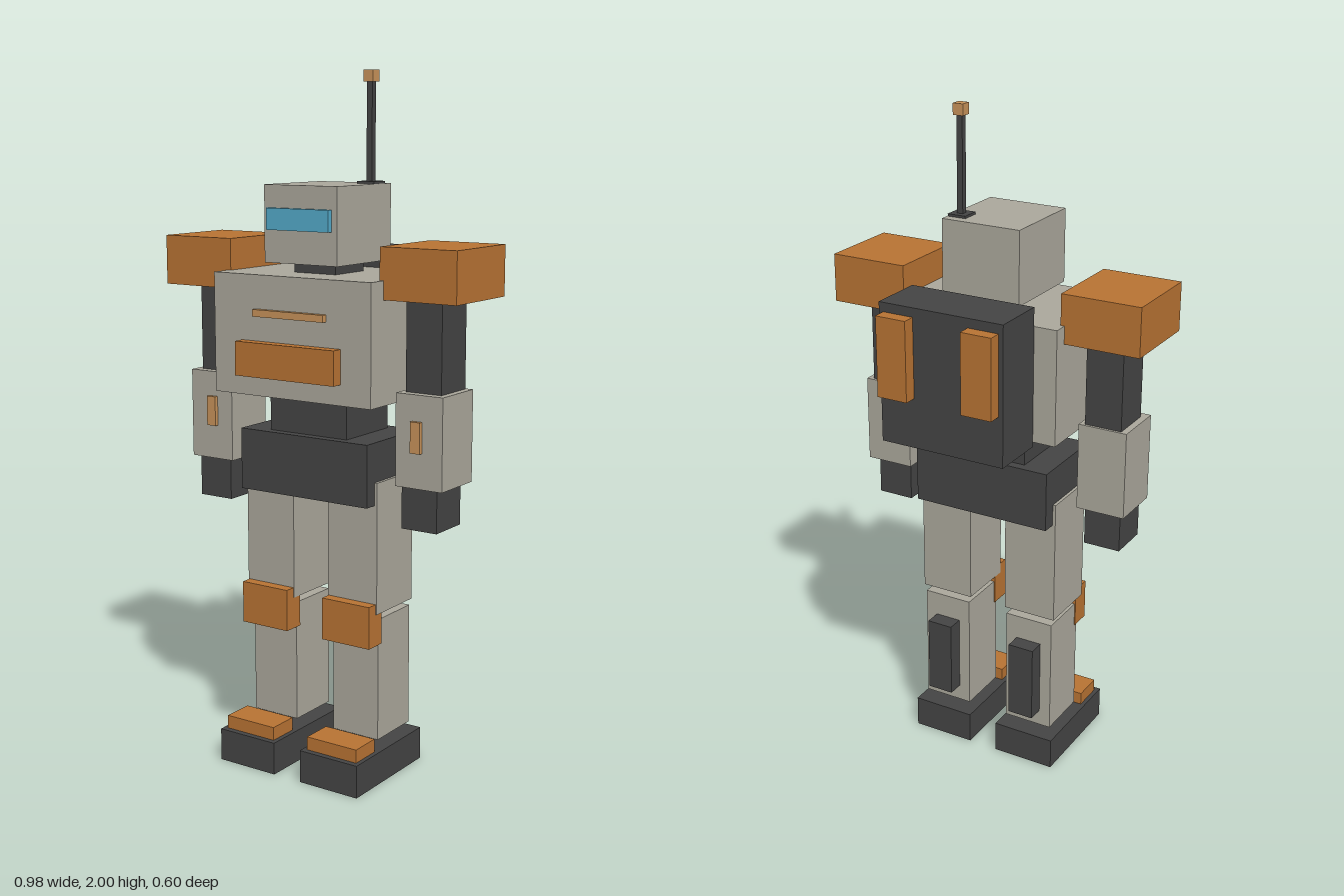
import * as THREE from 'three';

const material = (name, color) => {
  const m = new THREE.MeshStandardMaterial({ color });
  m.name = name;
  return m;
};

export function createModel() {
  const grey = material('warm grey armour', 0xaba89c);
  const dark = material('dark grey frame', 0x444444);
  const copper = material('copper plating', 0xb87333);
  const light = material('light copper trim', 0xc8935a);
  const blue = material('blue visor', 0x54aaca);

  const model = new THREE.Group();
  model.name = 'robot';

  // A box given by its [min, max] range on each axis
  const box = (parent, name, mat, [x0, x1], [y0, y1], [z0, z1]) => {
    const mesh = new THREE.Mesh(new THREE.BoxGeometry(x1 - x0, y1 - y0, z1 - z0), mat);
    mesh.position.set((x0 + x1) / 2, (y0 + y1) / 2, (z0 + z1) / 2);
    mesh.name = name;
    parent.add(mesh);
  };
  const group = (name) => {
    const g = new THREE.Group();
    g.name = name;
    model.add(g);
    return g;
  };
  const wide = (half) => [-half, half];

  // Head with visor
  const head = group('head');
  box(head, 'skull', grey, wide(0.122), [1.475, 1.69], [-0.05, 0.218]);
  box(head, 'visor', blue, wide(0.104), [1.567, 1.627], [0.218, 0.235]);
  box(head, 'neck', dark, wide(0.07), [1.445, 1.475], [0.01, 0.15]);

  // Antenna
  const antenna = group('antenna');
  box(antenna, 'antennaBase', dark, [0.064, 0.12], [1.667, 1.697], [-0.022, 0.034]);
  box(antenna, 'antennaMast', dark, [0.083, 0.101], [1.697, 1.968], [-0.003, 0.015]);
  box(antenna, 'antennaTip', light, [0.076, 0.108], [1.968, 2], [-0.01, 0.022]);

  // Torso, waist and hips
  const body = group('body');
  box(body, 'torso', grey, wide(0.264), [1.105, 1.445], [-0.095, 0.267]);
  box(body, 'chestBar', light, wide(0.119), [1.33, 1.35], [0.267, 0.283]);
  box(body, 'chestPlate', copper, wide(0.167), [1.163, 1.26], [0.267, 0.301]);
  box(body, 'waist', dark, wide(0.131), [0.993, 1.105], [-0.025, 0.185]);
  box(body, 'pelvis', dark, wide(0.217), [0.815, 0.993], [-0.053, 0.213]);

  // Backpack
  const pack = group('backpack');
  box(pack, 'packBody', dark, wide(0.194), [1.09, 1.5], [-0.264, -0.095]);

  // Mirrored parts
  for (const side of [-1, 1]) {
    const label = side > 0 ? 'left' : 'right';
    const span = (a, b) => (side > 0 ? [a, b] : [-b, -a]);

    box(pack, `${label}Thruster`, copper, span(0.086, 0.18), [1.238, 1.473], [-0.303, -0.264]);

    const arm = group(`${label}Arm`);
    box(arm, 'shoulderPad', copper, span(0.252, 0.489), [1.393, 1.535], [-0.052, 0.207]);
    box(arm, 'upperArm', dark, span(0.299, 0.411), [1.14, 1.393], [0.018, 0.146]);
    box(arm, 'forearm', grey, span(0.283, 0.431), [0.88, 1.14], [0.01, 0.172]);
    box(arm, 'forearmStripe', light, span(0.336, 0.367), [0.98, 1.067], [0.172, 0.184]);
    box(arm, 'hand', dark, span(0.298, 0.41), [0.76, 0.88], [0.035, 0.162]);

    const leg = group(`${label}Leg`);
    box(leg, 'thigh', grey, span(0.06, 0.226), [0.5, 0.88], [-0.01, 0.175]);
    box(leg, 'kneePad', copper, span(0.062, 0.222), [0.407, 0.53], [0.143, 0.208]);
    box(leg, 'shin', grey, span(0.066, 0.219), [0.12, 0.48], [-0.01, 0.156]);
    box(leg, 'calfPack', dark, span(0.102, 0.183), [0.17, 0.406], [-0.06, -0.01]);
    box(leg, 'foot', dark, span(0.046, 0.241), [0, 0.096], [-0.042, 0.298]);
    box(leg, 'toePlate', copper, span(0.06, 0.228), [0.096, 0.135], [0.187, 0.281]);
  }
  return model;
}
